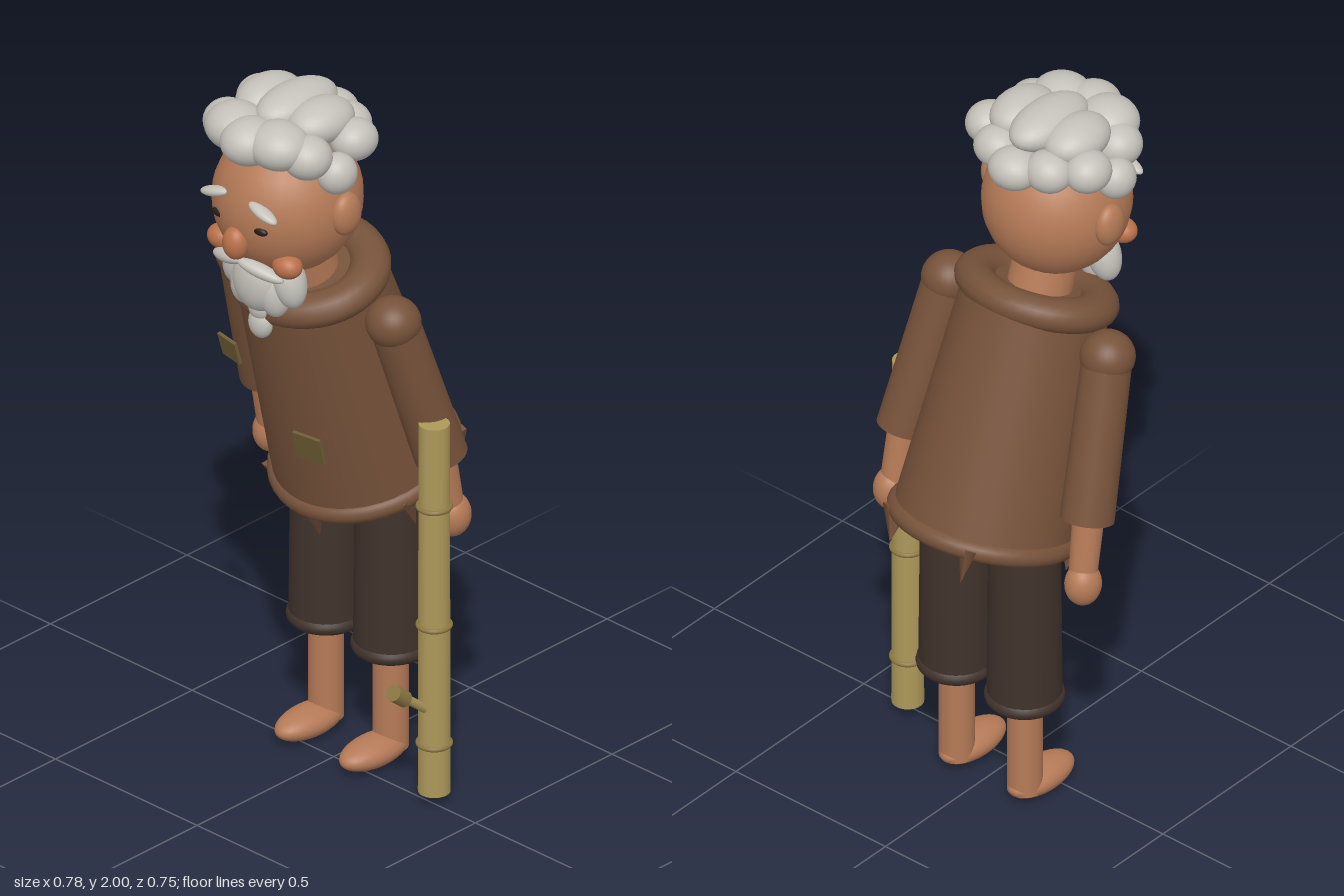
import * as THREE from 'three';

const mat = (name, color) => Object.assign(new THREE.MeshStandardMaterial({ color }), { name });

export function createModel() {
  const skin = mat('skin', 0xb57a57);
  const blush = mat('blush', 0xb9714a);
  const cloth = mat('brown cloth', 0x76523a);
  const trouser = mat('dark trousers', 0x40322b);
  const hair = mat('grey hair', 0xc4c1ba);
  const dark = mat('eye dark', 0x2a1d18);
  const bamboo = mat('bamboo', 0xad985a);
  const node = mat('bamboo node', 0x8a7641);
  const patchMat = mat('patch', 0x6e5d36);

  const model = new THREE.Group();
  const body = new THREE.Group(); // the figure stands slightly beside the origin, the staff balances it
  body.name = 'figure';
  body.position.x = -0.016;
  model.add(body);

  const add = (parent, name, geometry, material, p = [0, 0, 0], r = [0, 0, 0]) => {
    const m = new THREE.Mesh(geometry, material);
    m.name = name;
    m.position.set(...p);
    m.rotation.set(...r);
    parent.add(m);
    return m;
  };
  const blob = (parent, name, material, p, s, r) => {
    const m = add(parent, name, new THREE.SphereGeometry(1, 28, 20), material, p, r);
    m.scale.set(...s);
    return m;
  };
  // Cylinder running from point a to point b
  const rod = (parent, name, material, a, b, ra, rb = ra) => {
    const A = new THREE.Vector3(...a), B = new THREE.Vector3(...b);
    const d = B.clone().sub(A);
    const m = add(parent, name, new THREE.CylinderGeometry(rb, ra, d.length(), 28), material);
    m.position.copy(A).add(B).multiplyScalar(0.5);
    m.quaternion.setFromUnitVectors(new THREE.Vector3(0, 1, 0), d.normalize());
    return m;
  };
  const ring = (parent, name, material, p, radius, tube) =>
    add(parent, name, new THREE.TorusGeometry(radius, tube, 14, 40), material, p, [Math.PI / 2, 0, 0]);

  // Tunic leaning forward, with collar, hem and torn edges
  const tunic = new THREE.Group();
  tunic.name = 'tunic';
  tunic.position.set(0, 0.83, -0.13);
  tunic.rotation.x = 0.32;
  body.add(tunic);
  add(tunic, 'tunicBody', new THREE.CylinderGeometry(0.19, 0.24, 0.66, 40), cloth, [0, 0.33, 0]);
  ring(tunic, 'collar', cloth, [0, 0.645, 0], 0.15, 0.05).scale.set(1.12, 1, 0.9);
  ring(tunic, 'hem', cloth, [0, 0, 0], 0.227, 0.028);
  for (const a of [0.1, 1.25, 2.4, 3.63, 5.4]) {
    const t = add(tunic, 'tatter', new THREE.ConeGeometry(0.04, 0.1, 5), cloth,
      [0.23 * Math.sin(a), -0.045, 0.23 * Math.cos(a)], [Math.PI, a, 0]);
    t.scale.z = 0.5;
  }
  add(body, 'chestPatch', new THREE.BoxGeometry(0.07, 0.07, 0.009), patchMat, [-0.137, 1.217, 0.222], [0.3, -0.15, 0]);
  add(body, 'bellyPatch', new THREE.BoxGeometry(0.088, 0.08, 0.009), patchMat, [0.091, 0.993, 0.168], [0.25, 0.1, 0]);

  // Limbs, mirrored
  for (const s of [-1, 1]) {
    const side = s > 0 ? 'left' : 'right';
    blob(body, side + 'Shoulder', cloth, [s * 0.265, 1.375, 0.04], [0.072, 0.068, 0.072]);
    rod(body, side + 'Sleeve', cloth, [s * 0.308, 0.955, -0.09], [s * 0.265, 1.38, 0.04], 0.07, 0.065);
    rod(body, side + 'Forearm', skin, [s * 0.315, 0.8, -0.115], [s * 0.307, 0.99, -0.08], 0.037, 0.042);
    blob(body, side + 'Hand', skin, [s * 0.32, 0.775, -0.12], [0.047, 0.06, 0.05]);

    const x = s * 0.114;
    rod(body, side + 'TrouserLeg', trouser, [x, 0.33, -0.108], [x, 0.86, -0.108], 0.097, 0.092);
    ring(body, side + 'Cuff', trouser, [x, 0.328, -0.108], 0.083, 0.021);
    rod(body, side + 'Shin', skin, [x, 0.03, -0.107], [x, 0.36, -0.107], 0.046);
    blob(body, side + 'Foot', skin, [x, 0.04, -0.045], [0.058, 0.04, 0.113]);
  }

  // Head and face
  rod(body, 'neck', skin, [0, 1.38, 0.06], [0, 1.58, 0.13], 0.085);
  blob(body, 'head', skin, [0, 1.69, 0.152], [0.192, 0.2, 0.197]);
  blob(body, 'nose', blush, [0, 1.625, 0.342], [0.036, 0.046, 0.034]);
  for (const s of [-1, 1]) {
    blob(body, 'ear', skin, [s * 0.19, 1.7, 0.135], [0.031, 0.06, 0.047]);
    blob(body, 'eye', dark, [s * 0.072, 1.68, 0.327], [0.024, 0.012, 0.012]);
    blob(body, 'eyebrow', hair, [s * 0.085, 1.738, 0.331], [0.049, 0.014, 0.02], [0, 0, -s * 0.3]);
    blob(body, 'cheek', blush, [s * 0.115, 1.573, 0.272], [0.042, 0.033, 0.036]);
    blob(body, 'moustache', hair, [s * 0.058, 1.553, 0.312], [0.068, 0.018, 0.022], [0, s * 0.3, -s * 0.25]);
    blob(body, 'beardSide', hair, [s * 0.085, 1.505, 0.235], [0.045, 0.075, 0.045], [0, 0, s * 0.3]);
    blob(body, 'beardInner', hair, [s * 0.045, 1.47, 0.25], [0.045, 0.075, 0.045], [0, 0, s * 0.2]);
  }
  blob(body, 'beardMiddle', hair, [0, 1.485, 0.262], [0.075, 0.085, 0.05]);
  blob(body, 'beardLower', hair, [0, 1.405, 0.25], [0.035, 0.04, 0.03]);
  blob(body, 'beardTip', hair, [0, 1.358, 0.25], [0.036, 0.044, 0.028]);

  // Hair puffs: x, y, z, then radii; puffs off the middle are mirrored
  const puffs = [
    [0, 1.942, 0.12, 0.075, 0.055, 0.13],
    [0.09, 1.93, 0.125, 0.075, 0.057, 0.1],
    [0.165, 1.885, 0.08, 0.06, 0.055, 0.065],
    [0.085, 1.88, 0.02, 0.065, 0.055, 0.06],
    [0, 1.87, -0.015, 0.07, 0.055, 0.065],
    [0.187, 1.828, 0.165, 0.05, 0.055, 0.055],
    [0.14, 1.88, 0.225, 0.065, 0.058, 0.065],
    [0.075, 1.905, 0.262, 0.085, 0.062, 0.08],
    [0, 1.9, 0.29, 0.075, 0.062, 0.08],
  ];
  for (const [x, y, z, ...radii] of puffs)
    for (const s of x ? [-1, 1] : [1]) blob(body, 'hairPuff', hair, [s * x, y, z], radii);

  // Bamboo staff with joints and a side shoot
  const staff = new THREE.Group();
  staff.name = 'staff';
  staff.position.set(0.343, 0, -0.012);
  model.add(staff);
  rod(staff, 'staffPole', bamboo, [0, 0.03, 0], [0, 1.097, 0], 0.042, 0.04);
  for (const y of [0.17, 0.513, 0.857]) ring(staff, 'staffJoint', node, [0, y, 0], 0.041, 0.007);
  rod(staff, 'sideShoot', bamboo, [0, 0.27, 0.02], [0, 0.355, 0.125], 0.012);
  rod(staff, 'shootTip', node, [0, 0.338, 0.108], [0, 0.372, 0.15], 0.022);

  return model;
}
